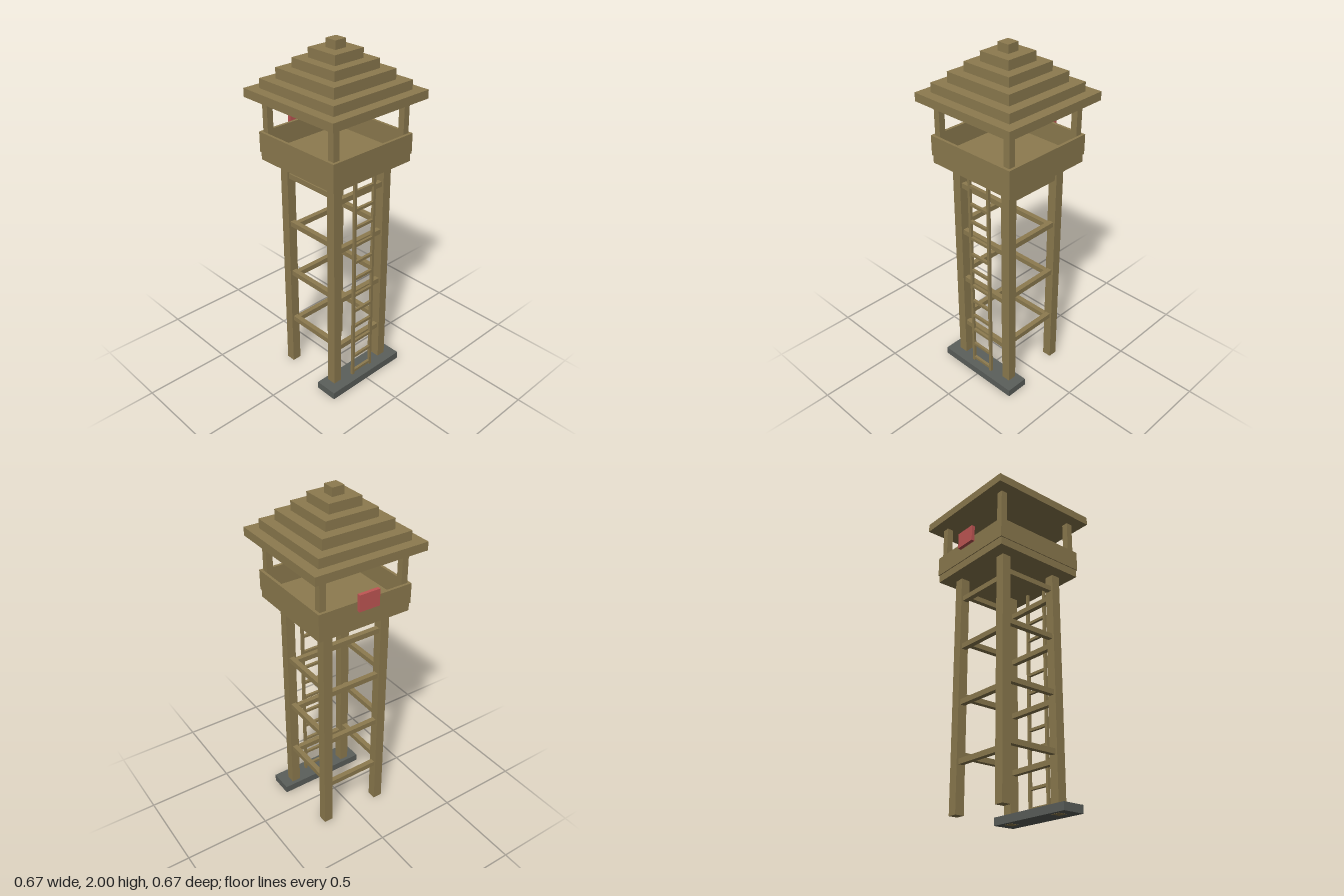
import * as THREE from 'three';

export function createModel() {
  const tower = new THREE.Group();
  tower.name = 'watchtower';

  const mat = (name, color) => {
    const m = new THREE.MeshStandardMaterial({ color });
    m.name = name;
    return m;
  };
  const wood = mat('wood', 0x8d7b4f);
  const stone = mat('stone', 0x5b5f5b);
  const red = mat('red', 0xc05654);

  // Box given by its x, y and z ranges
  const box = (name, x, y, z, material = wood, parent = tower) => {
    const mesh = new THREE.Mesh(
      new THREE.BoxGeometry(x[1] - x[0], y[1] - y[0], z[1] - z[0]), material);
    mesh.position.set((x[0] + x[1]) / 2, (y[0] + y[1]) / 2, (z[0] + z[1]) / 2);
    mesh.name = name;
    parent.add(mesh);
    return mesh;
  };
  const around = (c, half) => [c - half, c + half];

  // Stone slab under the front legs; leg ends show flush on its underside
  box('frontSlab', [-0.268, 0.268], [0.001, 0.045], [0.133, 0.268], stone);

  // Legs and cabin posts at the four corners
  for (const sx of [-1, 1]) {
    for (const sz of [-1, 1]) {
      box('leg', around(sx * 0.182, 0.027), [0, 1.34], around(sz * 0.182, 0.027));
      box('cabinPost', around(sx * 0.249, 0.019), [1.385, 1.69], around(sz * 0.249, 0.019));
    }
  }

  // Cross beams, set a little higher on the two sides
  for (const y of [0.272, 0.595, 0.92, 1.215]) {
    for (const s of [-1, 1]) {
      box('crossBeam', [-0.157, 0.157], around(y, 0.015), around(s * 0.182, 0.015));
      box('sideBeam', around(s * 0.182, 0.015), around(y + 0.042, 0.015), [-0.157, 0.157]);
    }
  }

  // Ladder on the front
  const ladder = new THREE.Group();
  ladder.name = 'ladder';
  tower.add(ladder);
  for (const s of [-1, 1]) {
    box('ladderRail', around(s * 0.07, 0.008), [0.045, 1.34], [0.211, 0.227], wood, ladder);
  }
  for (let i = 0; i < 12; i++) {
    box('ladderRung', [-0.062, 0.062], around(0.067 + i * 0.108, 0.008), [0.211, 0.227], wood, ladder);
  }

  // Cabin floor and low walls
  box('cabinFloor', [-0.279, 0.279], [1.34, 1.385], [-0.279, 0.279]);
  for (const s of [-1, 1]) {
    box('cabinWall', [-0.284, 0.284], [1.385, 1.5], around(s * 0.276, 0.008));
    box('cabinSideWall', around(s * 0.276, 0.008), [1.385, 1.5], [-0.268, 0.268]);
  }

  // Stepped roof
  const levels = [1.69, 1.738, 1.79, 1.848, 1.9, 1.953, 2];
  [0.333, 0.275, 0.215, 0.156, 0.098, 0.036].forEach((half, i) => {
    box('roofTier', [-half, half], [levels[i], levels[i + 1]], [-half, half]);
  });

  // Red panel on the back wall
  box('backPanel', [-0.062, 0.062], [1.455, 1.55], [-0.311, -0.291], red);

  return tower;
}
